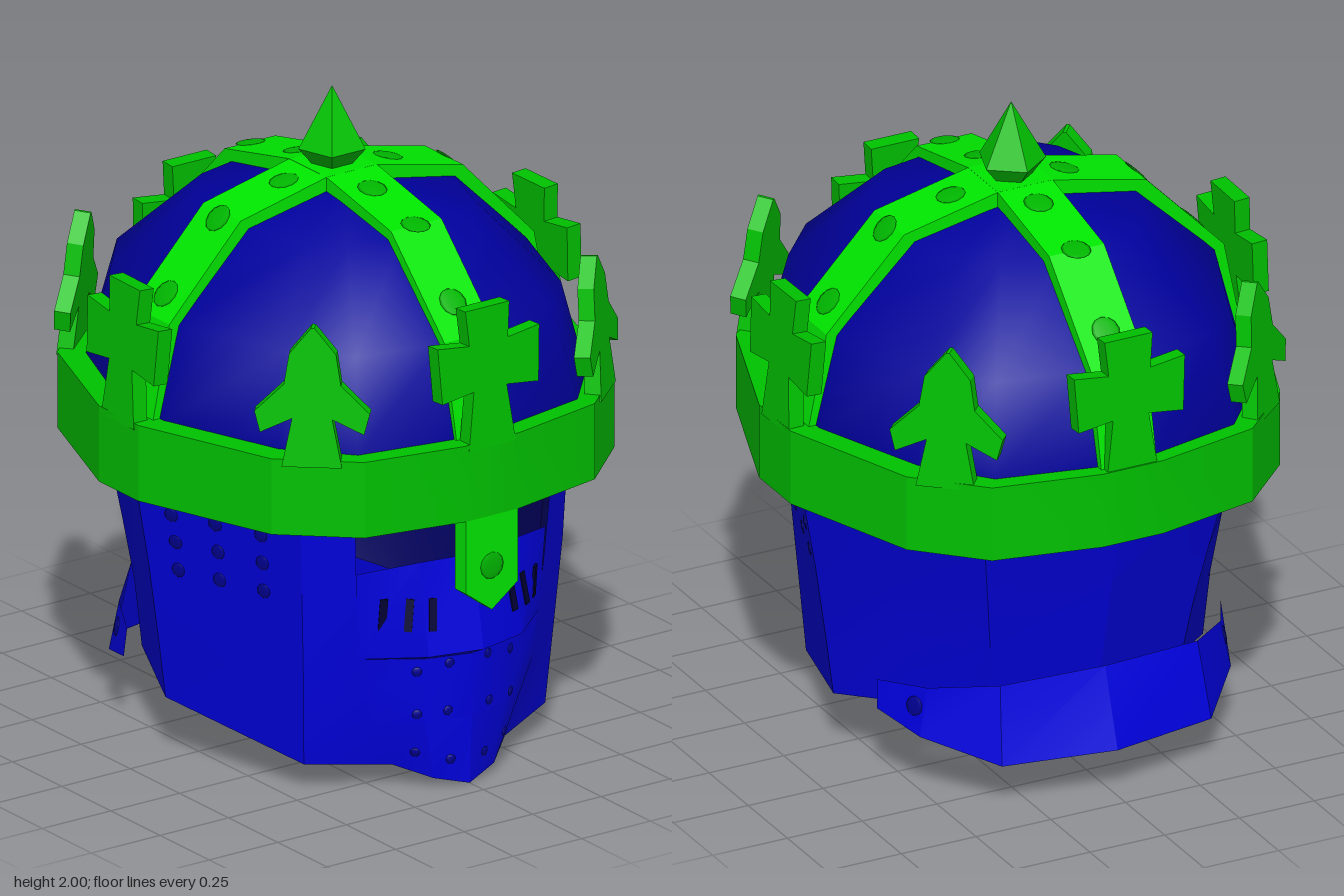
import * as THREE from 'three';
import { toCreasedNormals } from 'three/addons/utils/BufferGeometryUtils.js';

const mat = (name, color, side = THREE.FrontSide) =>
  Object.assign(new THREE.MeshStandardMaterial({ color, side }), { name });

export function createModel() {
  const model = new THREE.Group();
  model.name = 'crownedHelmet';
  const M = {
    steel: mat('helmet blue', 0x0000de, THREE.DoubleSide),
    dome: mat('dome blue', 0x00009c, THREE.DoubleSide),
    lining: mat('lining navy', 0x000060, THREE.DoubleSide),
    rivet: mat('rivet blue', 0x000090),
    slit: mat('slit navy', 0x000034),
    crown: mat('crown green', 0x00c200),
    strap: mat('strap green', 0x00ee00),
    strapRivet: mat('rivet green', 0x00b600),
  };

  const add = (name, geo, material) => {
    const m = new THREE.Mesh(geo, material);
    m.name = name;
    model.add(m);
    return m;
  };
  // Sheet through rows of points, top to bottom and left to right from outside
  const sheet = (rows, crease) => {
    const n = rows[0].length, idx = [];
    for (let r = 0; r < rows.length - 1; r++)
      for (let c = 0; c < n - 1; c++) {
        const a = r * n + c, b = a + n;
        idx.push(a, b, a + 1, a + 1, b, b + 1);
      }
    const g = new THREE.BufferGeometry();
    g.setAttribute('position', new THREE.Float32BufferAttribute(rows.flat(2), 3));
    g.setIndex(idx);
    return toCreasedNormals(g, crease);
  };
  const flip = ([x, ...rest]) => [-x, ...rest];
  const shapeOf = pts => new THREE.Shape(pts.map(p => new THREE.Vector2(...p)));
  const mirrored = half => [...half, ...half.slice().reverse().filter(p => p[0] > 0).map(flip)];
  const extrude = (shape, depth) => new THREE.ExtrudeGeometry(shape, { depth, bevelEnabled: false });
  // Lays a thin detail on the surface hit by a ray
  const ray = new THREE.Raycaster();
  const stick = (name, geo, material, target, from, dir, roll = 0) => {
    ray.set(new THREE.Vector3(...from), new THREE.Vector3(...dir));
    const hit = ray.intersectObject(target)[0];
    if (!hit) return;
    const n = hit.face.normal.clone();
    if (n.dot(ray.ray.direction) > 0) n.negate();
    const m = add(name, geo, material);
    m.position.copy(hit.point);
    m.lookAt(hit.point.clone().add(n));
    m.rotateZ(roll);
  };
  // Low rounded rivet head
  const head = r => new THREE.SphereGeometry(r, 10, 6).scale(1, 1, 0.0045 / r);

  // Helmet wall, open at the face and rising towards the nape
  const columns = [
    [[0.36, 0.93, 0.6], [0.34, 0.6, 0.58], [0.3, 0.3, 0.575], [0.2, 0.075, 0.575]],
    [[0.49, 0.93, 0.5], [0.475, 0.62, 0.49], [0.455, 0.33, 0.47], [0.44, 0.09, 0.45]],
    [[0.715, 0.93, -0.03], [0.66, 0.62, -0.03], [0.625, 0.38, -0.03], [0.6, 0.19, -0.03]],
    [[0.6, 0.93, -0.34], [0.55, 0.66, -0.32], [0.52, 0.46, -0.3], [0.5, 0.25, -0.29]],
    [[0.41, 0.93, -0.63], [0.37, 0.69, -0.575], [0.34, 0.5, -0.535], [0.32, 0.32, -0.5]],
    [[0, 0.93, -0.72], [0, 0.7, -0.665], [0, 0.52, -0.625], [0, 0.37, -0.59]],
  ];
  const round = [...columns, ...columns.slice(0, 5).reverse().map(c => c.map(flip))];
  const wallGeo = sheet([0, 1, 2, 3].map(r => round.map(c => c[r])), 0.45);
  const wall = add('helmetWall', wallGeo, M.steel);
  add('helmetLining', wallGeo.clone().scale(0.97, 1, 0.97), M.lining);

  // Dome lofted from one horizontal outline
  const section = mirrored([[0, 0.73], [0.09, 0.73], [0.4, 0.67], [0.56, 0.49], [0.7, 0.1],
    [0.7, -0.13], [0.56, -0.49], [0.4, -0.68], [0.09, -0.75], [0, -0.75]]);
  section.push(section[0]);
  const levels = [[1.73, 0.001], [1.72, 0.13], [1.66, 0.55], [1.41, 0.9], [1.13, 1], [0.92, 1]];
  add('dome', sheet(levels.map(([y, s]) => section.map(([x, z]) => [x * s, y, z * s])), 1.2), M.dome);

  // Visor: eye-slit plate, lip and lower breath plate
  const visorRows = [
    [[0, 0.74, 0.7], [0.17, 0.735, 0.66], [0.348, 0.71, 0.58]],
    [[0, 0.45, 0.75], [0.17, 0.45, 0.71], [0.33, 0.45, 0.572]],
    [[0, 0.42, 0.69], [0.15, 0.425, 0.66], [0.325, 0.435, 0.572]],
    [[0, 0.22, 0.69], [0.15, 0.23, 0.66], [0.305, 0.3, 0.572]],
    [[0, 0.005, 0.68], [0.11, 0.035, 0.65], [0.205, 0.075, 0.572]],
  ];
  const visor = add('visor', sheet(visorRows.map(([c, m, e]) => [flip(e), flip(m), c, m, e]), 0.4), M.steel);
  add('visorBar', new THREE.BoxGeometry(0.08, 0.2, 0.025).translate(0, 0.82, 0.69), M.steel);

  // Neck guard flaring behind
  const guardRows = [
    [[0.575, 0.33, -0.26], [0.49, 0.35, -0.42], [0.33, 0.39, -0.58], [0, 0.4, -0.62]],
    [[0.58, 0.24, -0.27], [0.52, 0.2, -0.43], [0.35, 0.15, -0.63], [0, 0.155, -0.7]],
  ];
  const guard = add('neckGuard', sheet(guardRows.map(r => [...r, ...r.slice(0, 3).reverse().map(flip)]), 0.3), M.steel);

  for (const s of [-1, 1]) {
    // Breath plate rivets and eye slits
    for (const [x, y] of [[0.17, 0.385], [0.07, 0.4], [0.17, 0.25], [0.075, 0.25], [0.16, 0.12], [0.06, 0.09]])
      stick('visorRivet', head(0.015), M.rivet, visor, [s * x, y, 2], [0, 0, -1]);
    for (const x of [0.145, 0.205, 0.265])
      stick('eyeSlit', new THREE.BoxGeometry(0.024, 0.1, 0.008), M.slit, visor, [s * x, 0.575, 2], [0, 0, -1], s * 0.06);
    // Cheek and neck guard rivets
    for (const y of [0.63, 0.72, 0.81])
      for (const z of [0.07, 0.21, 0.36])
        stick('cheekRivet', head(0.023), M.rivet, wall, [s * 2, y, z], [-s, 0, 0]);
    stick('guardRivet', head(0.03), M.rivet, guard, [s * 2, 0.285, -0.39], [-s, 0, 0]);
  }

  // Two straps crossing over the dome
  const strapShape = shapeOf([
    [0.73, 1.1], [0.665, 1.42], [0.405, 1.69], [0.09, 1.76],
    [-0.09, 1.76], [-0.405, 1.69], [-0.665, 1.42], [-0.73, 1.1],
    [-0.66, 1.1], [-0.6, 1.38], [-0.37, 1.63], [0.37, 1.63], [0.6, 1.38], [0.66, 1.1],
  ]);
  const strapGeo = () => extrude(strapShape, 0.19).translate(0, 0, -0.095);
  const sideStrap = add('sideStrap', strapGeo().translate(0, 0, -0.015), M.strap);
  const longStrap = add('longStrap', strapGeo().scale(1.045, 1, 0.97).rotateY(Math.PI / 2).translate(0, 0, -0.015), M.strap);
  for (const p of [-0.61, -0.42, -0.18, 0.2, 0.42, 0.61]) {
    stick('strapRivet', head(0.045), M.strapRivet, sideStrap, [p, 3, -0.015], [0, -1, 0]);
    stick('strapRivet', head(0.045), M.strapRivet, longStrap, [0, 3, p - 0.015], [0, -1, 0]);
  }

  // Nose guard
  const nasal = add('noseGuard', extrude(shapeOf([[-0.095, 0.92], [-0.095, 0.66], [0, 0.59],
    [0.095, 0.66], [0.095, 0.92]]), 0.055).translate(0, 0, 0.738), M.strap);
  stick('noseRivet', head(0.042), M.strapRivet, nasal, [0, 0.73, 2], [0, 0, -1]);

  // Crown band
  const ring = mirrored([[0, 0.795], [0.1, 0.795], [0.42, 0.73], [0.625, 0.545], [0.785, 0.09],
    [0.785, -0.11], [0.625, -0.545], [0.435, -0.73], [0.1, -0.8], [0, -0.8]]);
  const bandShape = shapeOf(ring.map(([x, z]) => [x, -z]));
  bandShape.holes.push(shapeOf(ring.map(([x, z]) => [x * 0.89, -z * 0.89])));
  const bandGeo = extrude(bandShape, 0.24).rotateX(-Math.PI / 2).translate(0, 0.89, 0);
  add('crownBand', toCreasedNormals(bandGeo, 0.3), M.crown);

  // Crown ornaments: four crosses and four leaf points, leaning slightly in
  const outline = half => shapeOf([...half, ...half.slice().reverse().map(flip)]);
  const cross = outline([[0.085, -0.02], [0.06, 0.16], [0.175, 0.145], [0.185, 0.32], [0.07, 0.305], [0.08, 0.415]]);
  const leaf = outline([[0.09, -0.02], [0.06, 0.13], [0.155, 0.085], [0.172, 0.15],
    [0.085, 0.235], [0.07, 0.33], [0.005, 0.41]]);
  const ornament = (name, shape, x, z, lean) => {
    const m = add(name, extrude(shape, 0.05).translate(0, 0, -0.05), M.crown);
    m.rotation.order = 'YXZ';
    m.position.set(x, 1.13, z);
    m.rotation.set(-lean, Math.atan2(x, z), 0);
  };
  for (const s of [-1, 1]) {
    ornament('crownCross', cross, s * 0.785, -0.015, 0.06);
    ornament('crownCross', cross, 0, s * 0.795, 0.06);
    for (const f of [-1, 1]) ornament('crownLeaf', leaf, s * 0.54, f * 0.63, 0.08);
  }

  // Five-sided finial
  const spike = new THREE.LatheGeometry([[0, 1.74], [0.06, 1.755], [0.105, 1.81], [0, 2]]
    .map(p => new THREE.Vector2(...p)), 5).toNonIndexed();
  spike.computeVertexNormals();
  add('finial', spike.rotateY(Math.PI).translate(0, 0, -0.02), M.crown);

  return model;
}
